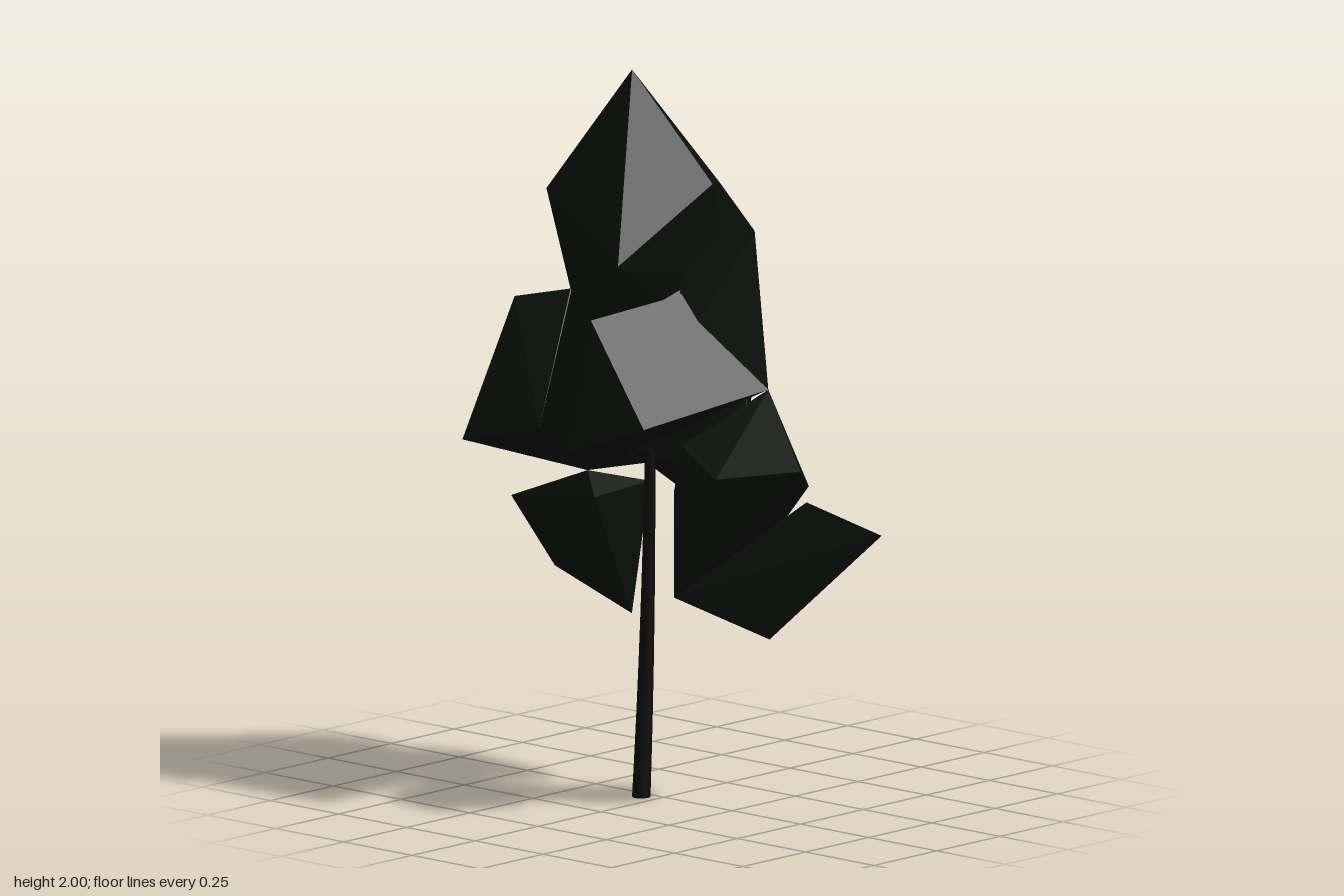
import * as THREE from 'three';
import { ConvexGeometry } from 'three/addons/geometries/ConvexGeometry.js';

const leafMaterial = new THREE.MeshStandardMaterial({ color: 0x090e09, flatShading: true });
const barkMaterial = new THREE.MeshStandardMaterial({ color: 0x0c0908 });

// One faceted clump of leaves, spanned by its corner points
function clump(name, corners) {
  const points = corners.map(([x, y, z]) => new THREE.Vector3(x, y, z));
  const mesh = new THREE.Mesh(new ConvexGeometry(points), leafMaterial);
  mesh.name = name;
  return mesh;
}

// Slender trunk, tapered and leaning slightly as it rises
function trunk() {
  const height = 0.95;
  const g = new THREE.CylinderGeometry(0.014, 0.025, height, 10, 8);
  g.translate(0, height / 2, 0);
  const p = g.attributes.position;
  for (let i = 0; i < p.count; i++) {
    const t = p.getY(i) / height;
    p.setX(i, p.getX(i) - 0.036 + 0.06 * t - 0.025 * t * t);
    p.setZ(i, p.getZ(i) - 0.05);
  }
  g.computeVertexNormals();
  const mesh = new THREE.Mesh(g, barkMaterial);
  mesh.name = 'trunk';
  return mesh;
}

export function createModel() {
  const tree = new THREE.Group();
  tree.name = 'tree';
  const foliage = new THREE.Group();
  foliage.name = 'foliage';

  foliage.add(
    // Pointed top
    clump('crown', [
      [-0.04, 2, -0.08], [0, 1.8, -0.26], [0.02, 1.71, 0.16], [0.22, 1.66, 0],
      [-0.28, 1.52, 0.09], [-0.185, 1.67, -0.26], [0.385, 1.36, -0.13],
      [-0.03, 1.36, -0.315], [-0.29, 1.36, 0], [-0.03, 1.47, 0.11], [0.28, 1.15, 0.07],
    ]),
    // Upright ridge under the crown at the front
    clump('frontRidge', [
      [0.1, 1.58, 0.24], [0.1, 1.15, 0.29], [-0.03, 1.47, 0.1], [0.22, 1.66, 0],
      [0.28, 1.15, 0.07], [0.385, 1.36, -0.13], [-0.1, 1.2, 0.1],
    ]),
    // Sloping shoulder beside the ridge
    clump('frontShoulder', [
      [-0.335, 1.1, 0.235], [0.1, 1.15, 0.29], [-0.29, 1.36, 0], [-0.03, 1.42, 0.1],
      [-0.385, 1.01, 0], [0.1, 1.1, 0],
    ]),
    // Broad middle
    clump('middle', [
      [0.385, 1.36, -0.13], [0.28, 1.15, 0.07], [0.18, 0.98, -0.37], [-0.385, 1.01, 0],
      [-0.335, 1.1, 0.235], [0.1, 1.15, 0.29], [-0.235, 1.02, -0.24], [-0.29, 1.36, 0],
      [-0.03, 1.36, -0.31], [-0.15, 0.95, -0.05],
    ]),
    // Skirt below the middle on the left
    clump('leftSkirt', [
      [0.28, 1.15, 0.07], [0.18, 0.98, -0.37], [0.3, 0.8, -0.17], [0.23, 0.7, 0.07],
      [0.02, 0.91, 0.1], [0, 0.95, -0.15], [0.1, 1.15, 0.15],
    ]),
    // Small drooping tip of the skirt
    clump('skirtTip', [
      [0.16, 0.6, 0.11], [0.23, 0.7, 0.07], [0.28, 1.15, 0.07], [0.02, 0.91, 0.1],
      [0.15, 0.91, 0.12], [0.1, 0.85, 0],
    ]),
    // Shoulder at the back
    clump('backShoulder', [
      [-0.28, 0.96, -0.48], [-0.1, 1.33, -0.455], [0.18, 0.98, -0.37], [-0.235, 1.02, -0.24],
      [0.385, 1.36, -0.13], [-0.03, 1.36, -0.315], [0.2, 0.86, -0.22], [0, 0.86, -0.28],
    ]),
    // Overhanging lobe at the front
    clump('frontLobe', [
      [-0.065, 0.99, 0.56], [-0.26, 0.98, 0.43], [-0.23, 0.92, 0.25], [-0.21, 1.04, 0.26],
      [0.1, 1.15, 0.29], [0.02, 0.91, 0.1], [-0.15, 0.6, 0.175], [0.13, 0.74, 0.28],
      [0.12, 0.9, 0.42],
    ]),
    // Drooping lobe at the lower front
    clump('lowerFrontLobe', [
      [0.23, 0.77, 0.585], [0.04, 0.48, 0.35], [0.23, 0.57, 0.33],
      [0.1, 0.86, 0.43], [0.13, 0.74, 0.28], [-0.15, 0.6, 0.175],
    ]),
    // Drooping lobe at the lower back
    clump('lowerBackLobe', [
      [0, 0.75, -0.56], [0.21, 0.69, -0.585], [0.1, 0.46, -0.21], [0, 0.58, -0.4],
      [0.15, 0.82, -0.19], [-0.07, 0.81, -0.19], [0, 0.86, -0.28],
    ]),
  );

  tree.add(trunk(), foliage);
  return tree;
}
